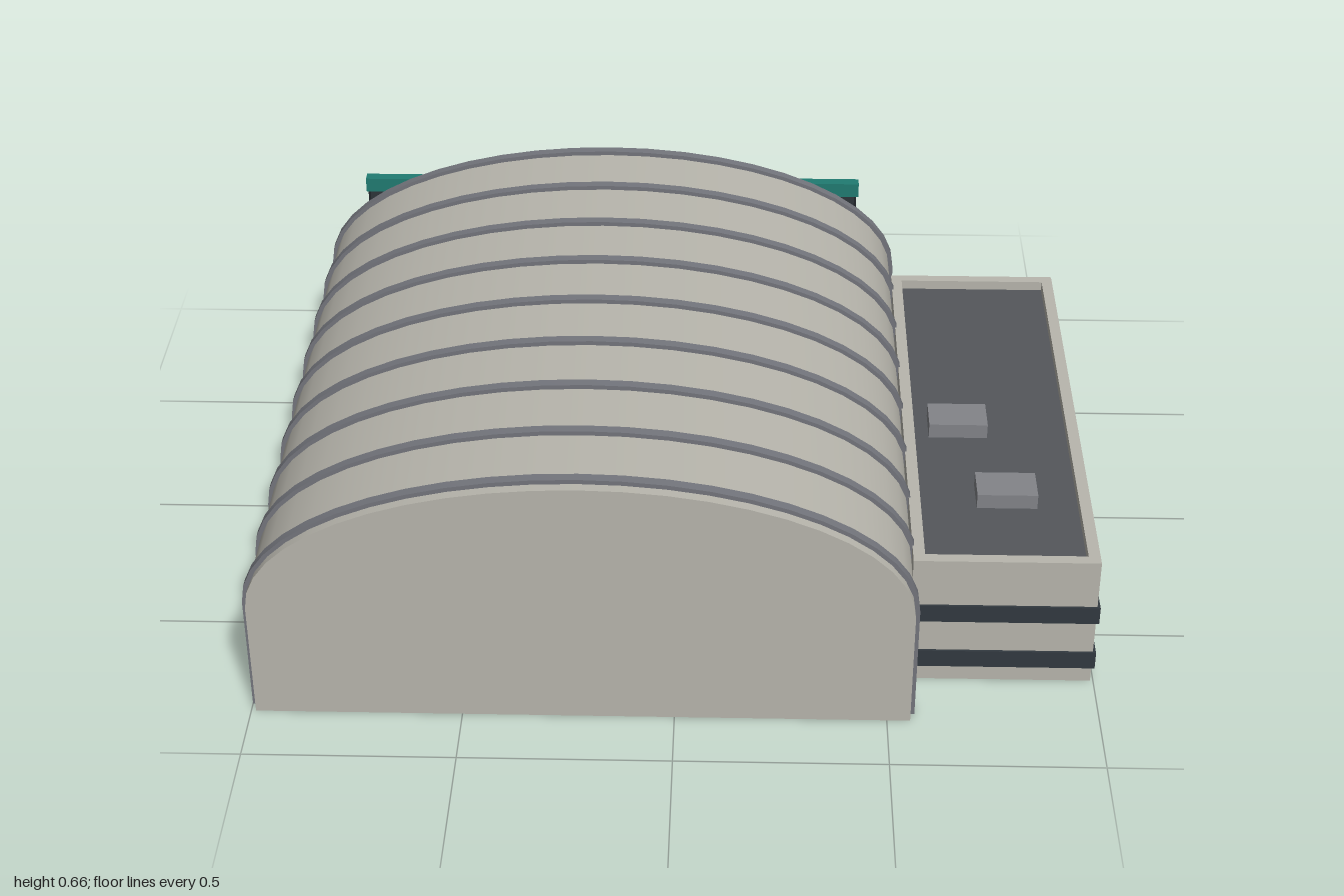
import * as THREE from 'three';
import { toCreasedNormals } from 'three/addons/utils/BufferGeometryUtils.js';

const mat = (name, color) => {
  const m = new THREE.MeshStandardMaterial({ color });
  m.name = name;
  return m;
};

const CX = -0.217; // hangar centre line
const SPRING = 0.3; // height where the straight walls meet the vault

// Points of the vault, from the right foot over the top to the left foot
function archPoints(halfWidth, rise, steps = 24) {
  const pts = [new THREE.Vector2(CX + halfWidth, 0)];
  for (let i = 0; i <= steps; i++) {
    const t = (i / steps) * Math.PI;
    pts.push(new THREE.Vector2(CX + halfWidth * Math.cos(t), SPRING + rise * Math.sin(t)));
  }
  pts.push(new THREE.Vector2(CX - halfWidth, 0));
  return pts;
}

function extrude(shape, depth) {
  const geo = new THREE.ExtrudeGeometry(shape, { depth, bevelEnabled: false });
  return toCreasedNormals(geo, 0.5);
}

export function createModel() {
  const wall = mat('concrete', 0xb8b6ad);
  const ribGrey = mat('rib grey', 0x74767d);
  const deckGrey = mat('roof deck', 0x54575b);
  const ventGrey = mat('vent grey', 0x838489);
  const glass = mat('window glass', 0x323940);
  const doorDark = mat('door panel', 0x2d3439);
  const seamDark = mat('door seam', 0x1f2429);
  const teal = mat('teal trim', 0x217c72);

  const root = new THREE.Group();
  root.name = 'hangar';

  const add = (name, geo, material, parent = root) => {
    const mesh = new THREE.Mesh(geo, material);
    mesh.name = name;
    parent.add(mesh);
    return mesh;
  };
  // Box given by its minimum and maximum corners
  const box = (name, material, [x0, y0, z0], [x1, y1, z1], parent) => {
    const mesh = add(name, new THREE.BoxGeometry(x1 - x0, y1 - y0, z1 - z0), material, parent);
    mesh.position.set((x0 + x1) / 2, (y0 + y1) / 2, (z0 + z1) / 2);
    return mesh;
  };

  // Vaulted hall
  const hall = extrude(new THREE.Shape(archPoints(0.772, 0.345)), 1.655);
  add('hall', hall, wall).position.z = -0.814;

  // Arched ribs over the hall
  const ribs = new THREE.Group();
  ribs.name = 'ribs';
  root.add(ribs);
  const ribShape = new THREE.Shape([
    ...archPoints(0.783, 0.356),
    ...archPoints(0.768, 0.341).reverse(),
  ]);
  const ribGeo = extrude(ribShape, 0.025);
  for (let i = 0; i < 9; i++) {
    add('rib', ribGeo, ribGrey, ribs).position.z = -0.793 + i * 0.198;
  }

  // Sliding door on the back, with five panels, seams and a top rail
  const door = new THREE.Group();
  door.name = 'door';
  root.add(door);
  const panelW = 0.268;
  const doorLeft = CX - panelW * 2.5;
  for (let i = 0; i < 5; i++) {
    const x = doorLeft + i * panelW;
    box('doorPanel', doorDark, [x, 0, -0.832], [x + panelW, 0.5, -0.812], door);
  }
  for (let i = 0; i <= 5; i++) {
    const x = doorLeft + i * panelW;
    box('doorSeam', seamDark, [x - 0.006, 0, -0.838], [x + 0.006, 0.5, -0.812], door);
  }
  box('doorRail', teal, [-0.898, 0.5, -0.842], [0.465, 0.54, -0.812], door);

  // Flat-roofed side building
  const annex = new THREE.Group();
  annex.name = 'annex';
  root.add(annex);
  const [ax0, ax1, az0, az1] = [0.555, 0.993, -0.648, 0.68];
  box('annexWalls', wall, [ax0, 0, az0], [ax1, 0.31, az1], annex);
  box('roofDeck', deckGrey, [ax0 + 0.02, 0.31, az0 + 0.02], [ax1 - 0.02, 0.322, az1 - 0.02], annex);

  // Parapet as a frame around the deck
  const rect = (x0, x1, y0, y1) => [[x0, y0], [x1, y0], [x1, y1], [x0, y1]]
    .map(([x, y]) => new THREE.Vector2(x, y));
  const frame = new THREE.Shape(rect(ax0, ax1, -az1, -az0));
  const inset = 0.028;
  frame.holes.push(new THREE.Path(rect(ax0 + inset, ax1 - inset, -az1 + inset, -az0 - inset)));
  const parapet = add('parapet', extrude(frame, 0.037), wall, annex);
  parapet.rotation.x = -Math.PI / 2;
  parapet.position.y = 0.31;

  // Window bands wrapping the side building
  for (const y of [0.042, 0.175]) {
    box('windowBand', glass, [ax0 + 0.008, y, az0 - 0.006], [1, y + 0.046, az1 + 0.006], annex);
  }

  // Roof vents
  for (const [x, z] of [[0.62, 0.02], [0.72, 0.327]]) {
    box('roofVent', ventGrey, [x, 0.32, z], [x + 0.146, 0.36, z + 0.098], annex);
  }

  return root;
}
